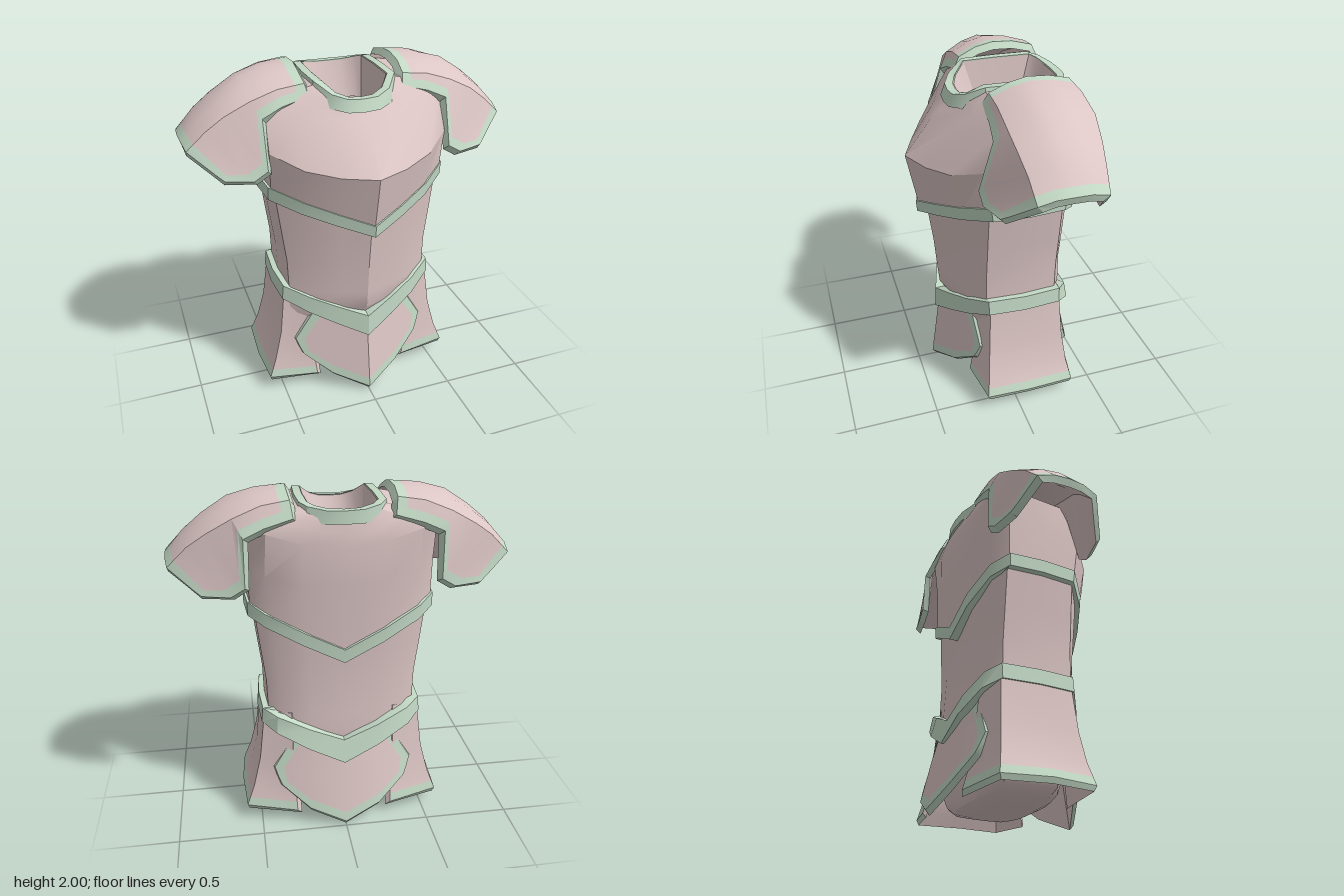
import * as THREE from 'three';
import { toCreasedNormals } from 'three/addons/utils/BufferGeometryUtils.js';

const CREASE = 0.52;
const plateMat = new THREE.MeshStandardMaterial({ name: 'rose plate', color: 0xdcc6c5, side: THREE.DoubleSide });
const trimMat = new THREE.MeshStandardMaterial({ name: 'pale green trim', color: 0xc3d9c5, side: THREE.DoubleSide });

const V = (x, y, z) => new THREE.Vector3(x, y, z);

// Half a torso section: [share of width, share of depth], pointed in front, rounded behind
const CORNER = 0.97;
const FRONT = [[0, 1, 1], [0.35, 0.75, 0.95], [0.68, 0.45, 0.66], [CORNER, 0, 0]];
const BACK = [[CORNER, 0], [0.8, 0.55], [0.42, 0.92], [0, 1]];

// w half width, f/b front and back depth, zf/zb corners of the flat side,
// y = [front, side, back] heights, p = how late the height rises towards the side
function ring({ w, f, b, zf = 0.16, zb = -0.26, y, p = 1, round = false }) {
  const [yf, ys, yb] = Array.isArray(y) ? y : [y, y, y];
  const mix = (k) => Math.pow(k / CORNER, p);
  const half = [
    ...FRONT.map(([k, sharp, soft]) => V(k * w, yf + (ys - yf) * mix(k), zf + (f - zf) * (round ? soft : sharp))),
    V(w, ys, (zf + zb) / 2),
    ...BACK.map(([k, d]) => V(k * w, yb + (ys - yb) * mix(k), zb + (b - zb) * d)),
  ];
  const mirrored = half.slice(1, -1).reverse().map((v) => V(-v.x, v.y, v.z));
  return [...half, ...mirrored];
}

function buildGeometry(points, index) {
  const g = new THREE.BufferGeometry().setFromPoints(points);
  g.setIndex(index);
  return toCreasedNormals(g, CREASE);
}

// Skin over a list of rings, from the bottom up
function loft(name, specs, mat) {
  const rings = specs.map(ring);
  const n = rings[0].length;
  const index = [];
  for (let i = 0; i < rings.length - 1; i++) {
    for (let j = 0; j < n; j++) {
      const a = i * n + j, b = i * n + (j + 1) % n;
      index.push(a, b, b + n, a, b + n, a + n);
    }
  }
  const mesh = new THREE.Mesh(buildGeometry(rings.flat(), index), mat);
  mesh.name = name;
  return mesh;
}

// Closed band around the torso: inner and outer faces between two ring specs
function band(name, low, high, depth, mat) {
  const inset = (s) => ({ ...s, w: s.w - depth, f: s.f - depth, b: s.b + depth });
  return loft(name, [inset(low), low, high, inset(high), inset(low)], mat);
}

// Add an extra item near both ends of a list, to carry the border
function withBorder(list, step) {
  const n = list.length - 1;
  return [list[0], step(list[0], list[1]), ...list.slice(1, n), step(list[n], list[n - 1]), list[n]];
}

// Thick plate over a grid of points (outside = row direction x column direction),
// with a bevelled rim and a green border all round or on the last row only
function plate(name, grid, width, thick, lastRowOnly = false) {
  const stepPoint = (a, b) => a.clone().lerp(b, Math.min(0.7, width / a.distanceTo(b)));
  const stepRow = (a, b) => a.map((v, j) => stepPoint(v, b[j]));
  const g = withBorder(grid.map((r) => withBorder(r, stepPoint)), stepRow);
  const R = g.length, C = g[0].length;
  const clamp = THREE.MathUtils.clamp;
  const outer = g.map((row, i) => row.map((v, j) =>
    v.clone().lerp(g[clamp(i, 1, R - 2)][clamp(j, 1, C - 2)], 0.3)));
  const inner = g.map((row, i) => row.map((v, j) => {
    const du = g[Math.min(R - 1, i + 1)][j].clone().sub(g[Math.max(0, i - 1)][j]);
    const dv = row[Math.min(C - 1, j + 1)].clone().sub(row[Math.max(0, j - 1)]);
    return v.clone().addScaledVector(du.cross(dv).normalize(), -thick);
  }));
  const points = [...outer.flat(), ...inner.flat()];
  const N = R * C, rose = [], green = [];
  const sideList = lastRowOnly ? rose : green;
  const quad = (list, a, b, c, d) => list.push(a, b, c, a, c, d);
  for (let i = 0; i < R - 1; i++) {
    for (let j = 0; j < C - 1; j++) {
      const a = i * C + j, b = a + C, c = b + 1, d = a + 1;
      const sideEdge = i === 0 || j === 0 || j === C - 2;
      const list = i === R - 2 ? green : sideEdge ? sideList : rose;
      quad(list, a, b, c, d);
      quad(rose, N + a, N + d, N + c, N + b);
    }
  }
  // rim walls
  for (let i = 0; i < R - 1; i++) {
    const a = i * C, b = a + C, c = a + C - 1, d = c + C;
    quad(sideList, a, N + a, N + b, b);
    quad(sideList, c, d, N + d, N + c);
  }
  for (let j = 0; j < C - 1; j++) {
    const a = j, b = j + 1, c = (R - 1) * C + j, d = c + 1;
    quad(sideList, a, b, N + b, N + a);
    quad(green, c, N + c, N + d, d);
  }
  const geo = buildGeometry(points, [...rose, ...green]);
  geo.addGroup(0, rose.length, 0);
  geo.addGroup(rose.length, green.length, 1);
  const mesh = new THREE.Mesh(geo, [plateMat, trimMat]);
  mesh.name = name;
  return mesh;
}

const mirrorGrid = (grid) => grid.map((r) => r.map((v) => V(-v.x, v.y, v.z)).reverse());

export function createModel() {
  const model = new THREE.Group();
  model.name = 'torsoArmor';

  // Waist and rounded hips
  model.add(loft('abdomen', [
    { w: 0.001, f: -0.049, b: -0.051, zf: -0.0495, zb: -0.0505, y: 0.035, round: true },
    { w: 0.2, f: 0.09, b: -0.2, zf: 0.03, zb: -0.14, y: 0.045, round: true },
    { w: 0.33, f: 0.16, b: -0.27, zf: 0.07, zb: -0.19, y: 0.08, round: true },
    { w: 0.38, f: 0.19, b: -0.295, zf: 0.09, zb: -0.22, y: 0.12, round: true },
    { w: 0.42, f: 0.21, b: -0.315, zf: 0.1, zb: -0.24, y: 0.2, round: true },
    { w: 0.44, f: 0.235, b: -0.33, zf: 0.12, y: 0.3 },
    { w: 0.45, f: 0.28, b: -0.36, zf: 0.14, y: 0.5 },
    { w: 0.445, f: 0.335, b: -0.36, y: 0.59 },
    { w: 0.445, f: 0.345, b: -0.355, y: 0.7 },
    { w: 0.45, f: 0.36, b: -0.345, y: 0.9 },
    { w: 0.475, f: 0.385, b: -0.355, y: 1.1 },
    { w: 0.505, f: 0.41, b: -0.365, y: 1.35 },
  ], plateMat));

  // Breastplate and back, from the lower band over the shoulders to the neck
  model.add(loft('breastplate', [
    { w: 0.525, f: 0.435, zf: 0.16, b: -0.39, y: [1.16, 1.34, 1.08] },
    { w: 0.53, f: 0.5, zf: 0.195, b: -0.405, y: [1.5, 1.6, 1.5], p: 3 },
    { w: 0.52, f: 0.345, zf: 0.09, zb: -0.33, b: -0.41, y: [1.7, 1.83, 1.72], p: 2 },
    { w: 0.4, f: 0.29, zf: 0.095, zb: -0.33, b: -0.4, y: [1.755, 1.885, 1.79], p: 2 },
    { w: 0.235, f: 0.225, zf: 0.1, zb: -0.3, b: -0.385, y: [1.815, 1.92, 1.87], p: 2, round: true },
  ], plateMat));

  // Neck opening
  const neck = { zf: 0.1, zb: -0.29, p: 3, round: true };
  model.add(band('collar',
    { ...neck, w: 0.255, f: 0.27, b: -0.405, y: [1.795, 1.85, 1.84] },
    { ...neck, w: 0.24, f: 0.245, b: -0.4, y: [1.86, 1.94, 1.91] }, 0.045, trimMat));
  model.add(loft('neckLining', [
    { ...neck, w: 0.17, f: 0.12, zf: 0.03, zb: -0.23, b: -0.29, y: 1.7 },
    { ...neck, w: 0.19, f: 0.195, b: -0.35, y: [1.856, 1.936, 1.906] },
  ], plateMat));

  // Pointed bands below the chest and at the hips
  model.add(band('chestBand',
    { w: 0.54, f: 0.45, zf: 0.15, b: -0.405, y: [1.13, 1.31, 1.05] },
    { w: 0.54, f: 0.455, zf: 0.16, b: -0.408, y: [1.2, 1.39, 1.13] }, 0.07, trimMat));
  model.add(band('belt',
    { w: 0.49, f: 0.37, zf: 0.155, zb: -0.28, b: -0.43, y: [0.4, 0.64, 0.4] },
    { w: 0.48, f: 0.365, zf: 0.155, zb: -0.28, b: -0.4, y: [0.54, 0.73, 0.54] }, 0.08, trimMat));

  // Front and back skirt plates: the same outline, bent to a ridge or a curve
  const outline = [
    [[0, 0.5], [0.14, 0.56], [0.28, 0.62]],
    [[0, 0.33], [0.21, 0.35], [0.435, 0.355]],
    [[0, 0], [0.21, 0.09], [0.385, 0.24]],
  ];
  const skirt = (name, side, depth) => {
    const grid = outline.map((r) => [...r.slice(1).reverse().map(([x, y]) => [-x, y]), ...r]
      .map(([x, y]) => V(x * side, y, side * depth(Math.abs(x), y))));
    return plate(name, grid, 0.08, 0.03);
  };
  model.add(skirt('frontSkirtPlate', 1, (x, y) => 0.34 + (0.5 - y) * 0.14 - 0.4 * x));
  model.add(skirt('backSkirtPlate', -1, (x, y) => 0.39 + (0.5 - y) * 0.23 - 0.45 * x * x));

  // Hip plates wrapping each side
  const hip = [
    [V(0.3, 0.73, 0.19), V(0.455, 0.73, 0.14), V(0.47, 0.73, -0.06), V(0.455, 0.73, -0.28), V(0.28, 0.73, -0.33)],
    [V(0.29, 0.4, 0.205), V(0.495, 0.4, 0.16), V(0.505, 0.4, -0.06), V(0.495, 0.4, -0.3), V(0.28, 0.4, -0.365)],
    [V(0.28, 0.2, 0.215), V(0.54, 0.22, 0.175), V(0.55, 0.22, -0.06), V(0.54, 0.22, -0.32), V(0.27, 0.2, -0.385)],
    [V(0.265, 0.05, 0.235), V(0.595, 0.075, 0.2), V(0.615, 0.085, -0.06), V(0.595, 0.075, -0.35), V(0.265, 0.05, -0.425)],
  ];
  model.add(plate('leftHipPlate', hip, 0.075, 0.025, true), plate('rightHipPlate', mirrorGrid(hip), 0.075, 0.025, true));

  // Shoulder guards: rows run outwards from the neck, columns from the front flap over the top to the back flap
  const shoulder = [
    [V(0.245, 1.86, 0.14), V(0.26, 1.935, 0.1), V(0.265, 2, -0.1), V(0.26, 1.965, -0.34), V(0.245, 1.86, -0.39)],
    [V(0.42, 1.81, 0.15), V(0.43, 1.915, 0.1), V(0.45, 1.985, -0.1), V(0.43, 1.94, -0.35), V(0.42, 1.81, -0.4)],
    [V(0.52, 1.765, 0.165), V(0.58, 1.865, 0.1), V(0.6, 1.945, -0.1), V(0.58, 1.88, -0.36), V(0.52, 1.765, -0.41)],
    [V(0.52, 1.5, 0.24), V(0.72, 1.795, 0.09), V(0.74, 1.855, -0.1), V(0.72, 1.8, -0.34), V(0.52, 1.5, -0.41)],
    [V(0.595, 1.455, 0.24), V(0.82, 1.72, 0.075), V(0.845, 1.77, -0.11), V(0.82, 1.73, -0.32), V(0.595, 1.455, -0.405)],
    [V(0.765, 1.465, 0.195), V(0.945, 1.605, 0.065), V(0.963, 1.635, -0.11), V(0.945, 1.605, -0.3), V(0.765, 1.465, -0.375)],
  ].map(([frontLow, front, top, back, backLow]) => {
    const arch = (a) => a.clone().lerp(top, 0.5).add(V(0.005, 0.012, 0));
    return [frontLow, front, arch(front), top, arch(back), back, backLow];
  });
  model.add(plate('leftShoulderGuard', shoulder, 0.075, 0.04), plate('rightShoulderGuard', mirrorGrid(shoulder), 0.075, 0.04));

  return model;
}
